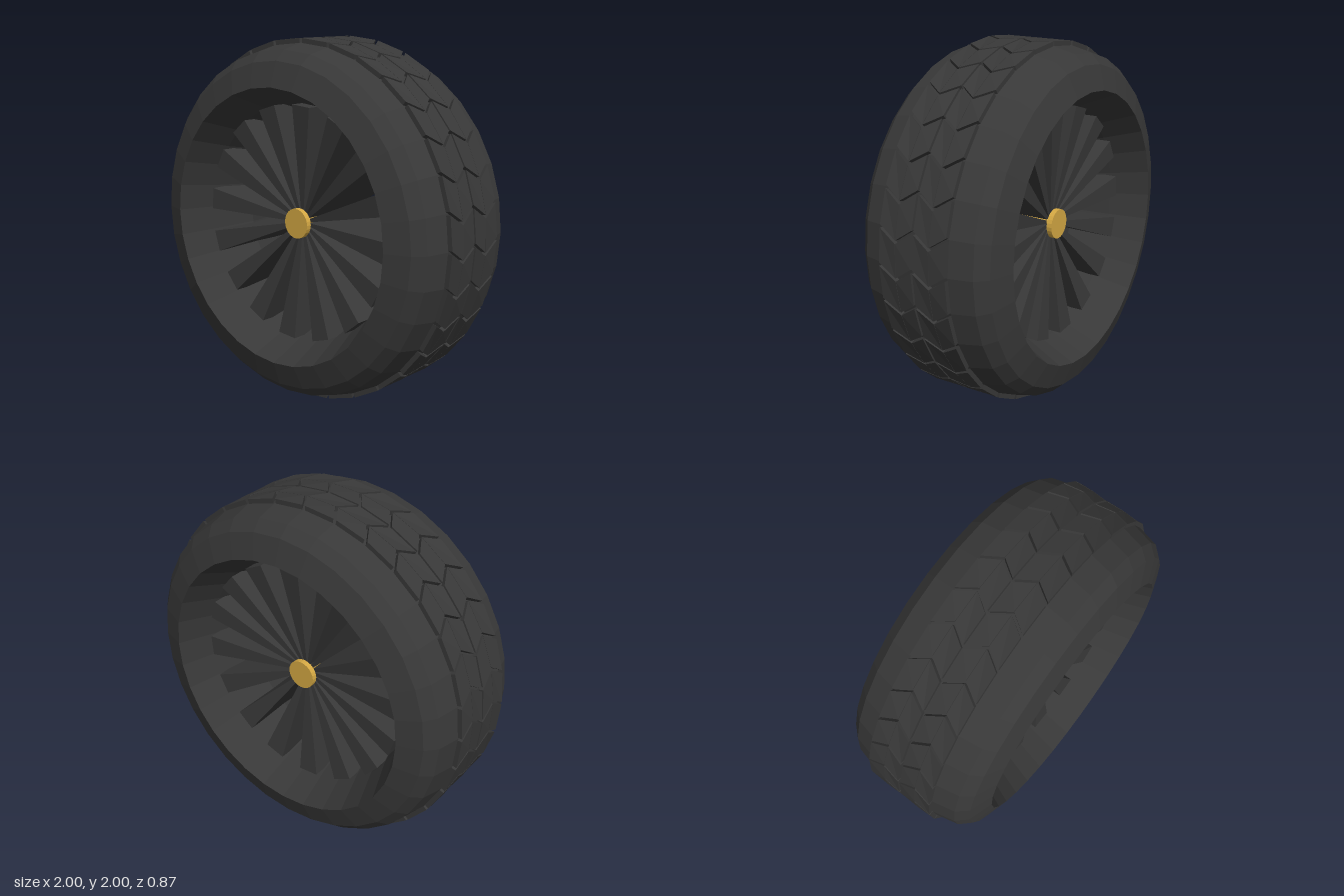
import * as THREE from 'three';
import { mergeGeometries } from 'three/addons/utils/BufferGeometryUtils.js';

const rubber = new THREE.MeshStandardMaterial({ color: 0x383838, flatShading: true });
const gold = new THREE.MeshStandardMaterial({ color: 0xd4a843, flatShading: true });

// Box bent round the z axis: angles run clockwise from the top.
// lead skews each z end; innerWidth and innerScale set width and depth at the inner radius.
function wedge({ angle, width, innerWidth = width, r0, r1, z0, z1, lead0 = 0, lead1 = 0, innerScale = 1 }) {
  const geo = new THREE.BoxGeometry(1, 1, 1);
  const p = geo.attributes.position;
  const lerp = THREE.MathUtils.lerp;
  for (let i = 0; i < p.count; i++) {
    const t = p.getZ(i) + 0.5;
    const out = p.getY(i) + 0.5;
    const a = angle + p.getX(i) * lerp(innerWidth, width, out) + lerp(lead0, lead1, t);
    const r = lerp(r0, r1, out);
    p.setXYZ(i, r * Math.sin(a), r * Math.cos(a), lerp(z0, z1, t) * lerp(innerScale, 1, out));
  }
  geo.computeVertexNormals();
  return geo;
}

export function createModel() {
  const model = new THREE.Group();
  model.name = 'wheel';
  const wheel = new THREE.Group();
  wheel.name = 'wheelAssembly';
  wheel.position.y = 1;
  wheel.rotation.y = -0.005;
  model.add(wheel);

  const add = (name, geo, material) => {
    const mesh = new THREE.Mesh(geo, material);
    mesh.name = name;
    wheel.add(mesh);
    return mesh;
  };

  // Tyre and flared rim as one closed ring; [radius, z], front half mirrored
  const outer = [[0.975, 0.2], [0.945, 0.325], [0.89, 0.385], [0.755, 0.43]];
  const inner = [[0.665, 0.22], [0.6, 0]];
  const front = [...outer, ...inner];
  const back = front.slice(0, -1).reverse().map(([r, z]) => [r, -z]);
  const loop = [...front, ...back, front[0]].map(([r, z]) => new THREE.Vector2(r, z));
  const tyre = new THREE.LatheGeometry(loop, 32);
  tyre.rotateX(Math.PI / 2);
  add('tyre', tyre, rubber);

  // Tread: four ribs of slanted blocks making two rows of chevrons
  const count = 32, step = (2 * Math.PI) / count, lead = 0.065;
  const ribs = [
    [-0.2, -0.102, 0, lead], [-0.1, -0.006, lead, 0],
    [0.006, 0.1, 0, lead], [0.102, 0.2, lead, 0],
  ];
  ribs.forEach(([z0, z1, lead0, lead1], n) => {
    const blocks = [];
    for (let i = 0; i < count; i++) {
      blocks.push(wedge({
        angle: (i + 0.5) * step, width: step - 0.018, r0: 0.94, r1: 1, z0, z1, lead0, lead1,
      }));
    }
    add(`treadRib${n + 1}`, mergeGeometries(blocks), rubber);
  });

  // Wedge-shaped spokes, nearly touching at the hub and deepest at the rim
  const rad = THREE.MathUtils.degToRad;
  const spokes = [];
  for (let i = 0; i < 16; i++) {
    spokes.push(wedge({
      angle: rad(5 + i * 22.5), width: rad(10.7), innerWidth: rad(17),
      r0: 0.06, r1: 0.655, z0: -0.265, z1: 0.265, innerScale: 0.75,
    }));
  }
  add('spokes', mergeGeometries(spokes), rubber);

  // Thin axle with a cap at each end
  const axle = new THREE.CylinderGeometry(0.015, 0.015, 0.46, 12);
  axle.rotateX(Math.PI / 2);
  add('axle', axle, gold);
  const cap = new THREE.CylinderGeometry(0.083, 0.083, 0.03, 24);
  cap.rotateX(Math.PI / 2);
  add('frontHubCap', cap, gold).position.z = 0.23;
  add('backHubCap', cap, gold).position.z = -0.23;

  return model;
}
